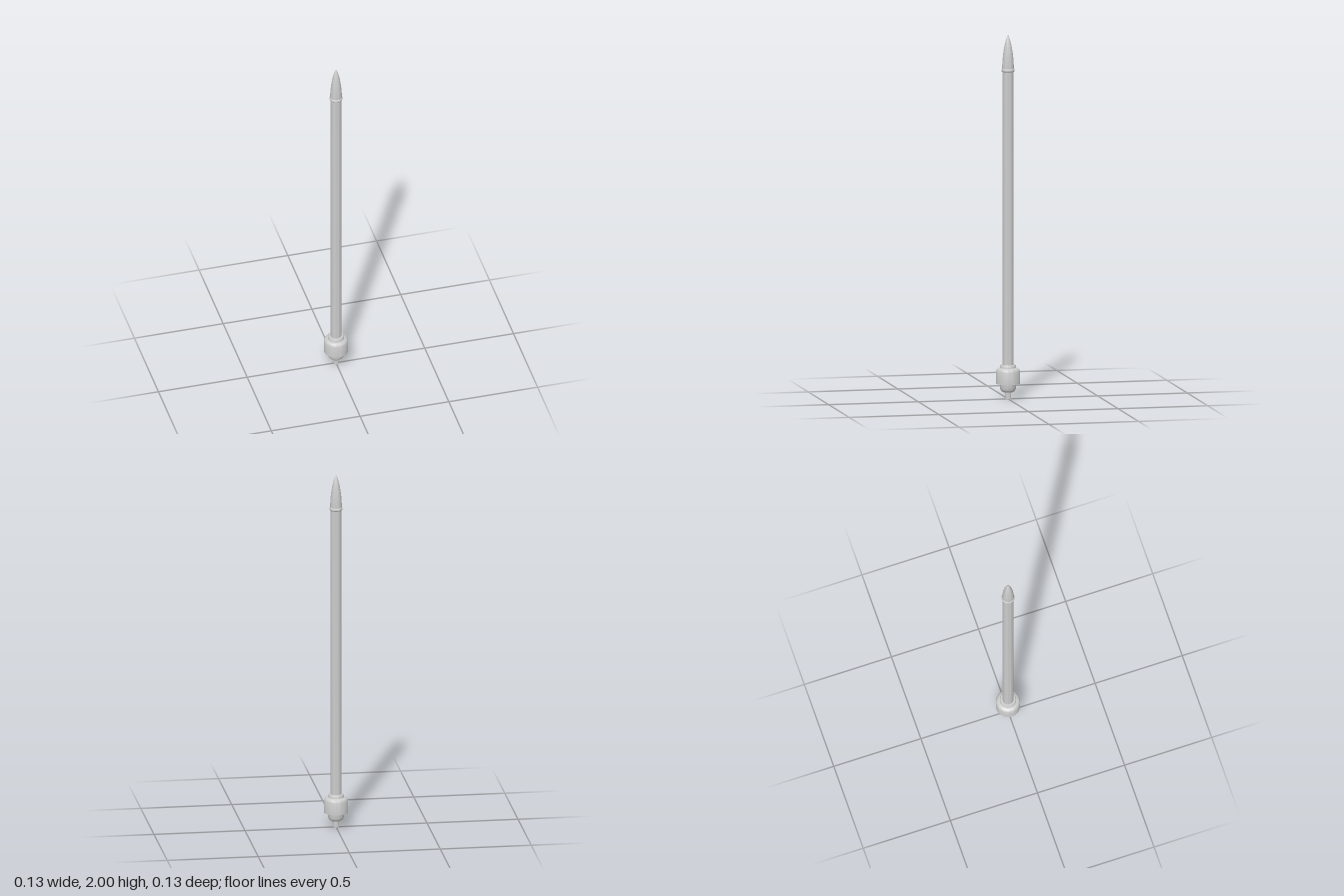
import * as THREE from 'three';
import { toCreasedNormals } from 'three/addons/utils/BufferGeometryUtils.js';

const material = new THREE.MeshStandardMaterial({ color: 0xcccccc });

// Turned part from [radius, height] pairs, listed bottom to top
function turned(name, profile) {
  const points = profile.map(([r, y]) => new THREE.Vector2(r, y));
  const geometry = toCreasedNormals(new THREE.LatheGeometry(points, 48), 0.6);
  const mesh = new THREE.Mesh(geometry, material);
  mesh.name = name;
  return mesh;
}

export function createModel() {
  const model = new THREE.Group();
  model.name = 'pointedRod';

  // Narrow pin under the base
  model.add(turned('basePin', [[0, 0], [0.017, 0], [0.017, 0.045], [0, 0.045]]));

  // Stepped lower cup with a rounded bottom edge
  model.add(turned('lowerCup', [
    [0, 0.038], [0.028, 0.038], [0.036, 0.043], [0.041, 0.05],
    [0.043, 0.057], [0.043, 0.088], [0, 0.088],
  ]));

  // Wide collar with a rounded shoulder
  model.add(turned('collar', [
    [0, 0.084], [0.066, 0.084], [0.066, 0.152], [0.064, 0.159],
    [0.059, 0.165], [0.052, 0.169], [0.044, 0.171], [0, 0.171],
  ]));

  // Neck ring that holds the shaft
  model.add(turned('neckRing', [
    [0, 0.165], [0.044, 0.165], [0.044, 0.183], [0.041, 0.188], [0, 0.188],
  ]));

  // Long straight shaft
  model.add(turned('shaft', [[0, 0.18], [0.03, 0.18], [0.03, 1.81], [0, 1.81]]));

  // Rounded band at the foot of the tip
  const band = [[0, 1.797]];
  for (let i = 0; i <= 8; i++) {
    const a = -Math.PI / 2 + (i / 8) * Math.PI;
    band.push([0.029 + 0.007 * Math.cos(a), 1.805 + 0.009 * Math.sin(a)]);
  }
  band.push([0, 1.814]);
  model.add(turned('tipBand', band));

  // Bullet-shaped tip
  const tip = [[0, 1.805]];
  for (let i = 0; i <= 16; i++) {
    const t = i / 16;
    tip.push([0.032 * Math.pow(1 - t * t, 0.8), 1.805 + 0.195 * t]);
  }
  model.add(turned('tip', tip));

  return model;
}
